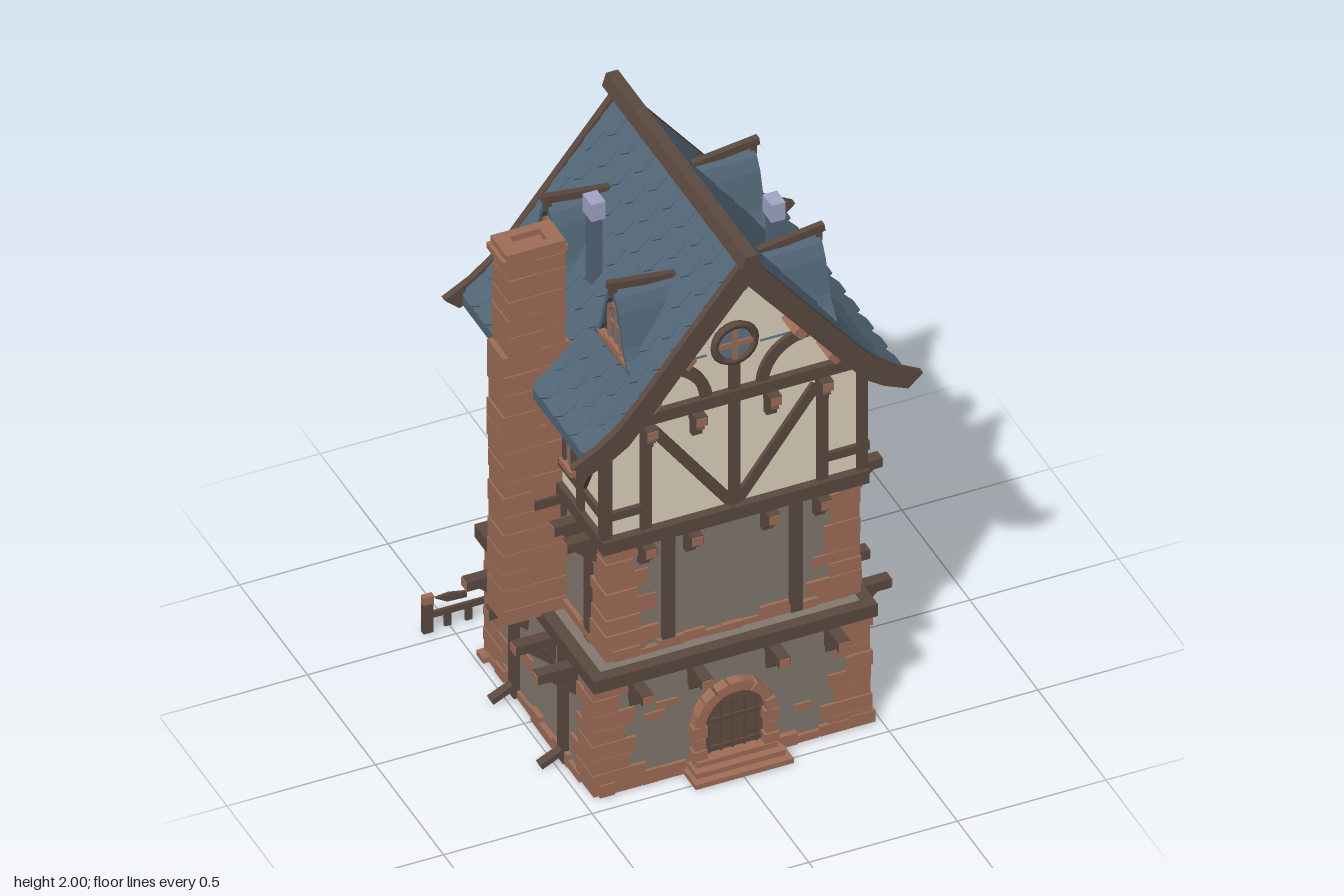
import * as THREE from 'three';
import { mergeGeometries } from 'three/addons/utils/BufferGeometryUtils.js';

const colours = {
  timber: 0x5c4a40, brick: 0xa06e58, plaster: 0xe0d5bf, stone: 0x837970,
  roofSlate: 0x526676, glass: 0x607484, metal: 0xa2a6c6, doorWood: 0x654e40,
};
const Q = Math.PI / 2, CX = 0.02;

export function createModel() {
  const mats = {};
  for (const [name, color] of Object.entries(colours)) {
    mats[name] = new THREE.MeshStandardMaterial({ color });
    mats[name].name = name;
  }
  let seed = 7;
  const rnd = () => (seed = (seed * 16807) % 2147483647) / 2147483647;

  // Collect geometry by part; the frame places wall-local pieces (local +z points out of the wall)
  const parts = new Map();
  let frame = new THREE.Matrix4();
  const setFrame = (x = 0, z = 0, angle = 0) => { frame = new THREE.Matrix4().makeRotationY(angle).setPosition(x, 0, z); };
  function put(name, mat, geo, x = 0, y = 0, z = 0, rx = 0, ry = 0, rz = 0) {
    const g = geo.index ? geo.toNonIndexed() : geo;
    g.deleteAttribute('uv');
    g.applyMatrix4(new THREE.Matrix4().makeRotationFromEuler(new THREE.Euler(rx, ry, rz)).setPosition(x, y, z)).applyMatrix4(frame);
    const key = name + '|' + mat;
    if (!parts.has(key)) parts.set(key, []);
    parts.get(key).push(g);
  }
  const box = (name, mat, w, h, d, ...at) => put(name, mat, new THREE.BoxGeometry(w, h, d), ...at);
  const shapeOf = (pts, Type = THREE.Shape) => new Type(pts.map((p) => new THREE.Vector2(...p)));
  const extrude = (shape, depth) => new THREE.ExtrudeGeometry(shape, { depth, bevelEnabled: false, curveSegments: 10 });
  // Straight timber lying on a wall between two points
  const plank = (x1, y1, x2, y2, w = 0.035, d = 0.03) => box('timberFrame', 'timber', Math.hypot(x2 - x1, y2 - y1), w, d,
    (x1 + x2) / 2, (y1 + y2) / 2, 0, 0, 0, Math.atan2(y2 - y1, x2 - x1));
  function arch(w, h, path = new THREE.Shape()) {
    path.moveTo(-w / 2, 0).lineTo(w / 2, 0).lineTo(w / 2, h - w / 2);
    return path.absarc(0, h - w / 2, w / 2, 0, Math.PI, false).lineTo(-w / 2, 0);
  }
  function archWindow(x, y, z, w, h, frameMat) {
    put('windowGlass', 'glass', extrude(arch(w, h), 0.008), x, y, z);
    const ring = arch(w + 0.02, h + 0.01);
    ring.holes.push(arch(w - 0.008, h - 0.004, new THREE.Path()));
    put('windowFrame', frameMat, extrude(ring, 0.016), x, y, z);
    box('windowBars', 'brick', 0.008, h, 0.006, x, y + h / 2, z + 0.01);
    box('windowBars', 'brick', w, 0.008, 0.006, x, y + h * 0.55, z + 0.01);
    box('windowSill', 'brick', w + 0.035, 0.02, 0.03, x, y, z + 0.01);
  }
  // Arched doorway with brick surround and steps
  function doorway(y, w, h) {
    put('door', 'doorWood', extrude(arch(w, h), 0.068), 0, y, -0.06);
    for (let i = -2; i <= 2; i++) box('doorBattens', 'timber', 0.008, h * 0.85, 0.006, i * w * 0.19, y + h * 0.43, 0.01);
    for (const t of [0.25, 0.62]) box('doorHinges', 'timber', w * 0.9, 0.014, 0.008, 0, y + h * t, 0.012);
    const r = w / 2 + 0.014, hj = h - w / 2;
    for (const s of [-1, 1]) for (let i = 0; i < 4; i++)
      box('doorSurround', 'brick', 0.036 + (i % 2) * 0.012, hj / 4 - 0.004, 0.1, s * r, y + hj * (i + 0.5) / 4, -0.018 + rnd() * 0.01);
    for (let i = 0; i < 9; i++) {
      const a = Math.PI * (i + 0.5) / 9;
      box('doorSurround', 'brick', 0.034, r * 0.34, 0.1, Math.cos(a) * r, y + hj + Math.sin(a) * r, -0.018 + rnd() * 0.01, 0, 0, a);
    }
    for (let i = 0; i < 3; i++) {
      const d = 0.1 - i * 0.027;
      box('doorSteps', 'brick', w + 0.12 - i * 0.03, 0.018, d, 0, y + 0.009 + i * 0.018, d / 2);
    }
  }
  // Projecting joist ends with diagonal braces
  function joists(xs, y, len) {
    for (const x of xs) {
      box('joists', 'timber', 0.04, 0.034, len + 0.03, x, y, len / 2 - 0.015);
      box('joistEnds', 'brick', 0.036, 0.03, 0.006, x, y, len);
      box('joistBraces', 'timber', 0.028, 0.022, len * 1.05, x, y - 0.045, len * 0.36, -0.72);
      box('joistBraces', 'timber', 0.034, 0.05, 0.025, x, y - 0.045, 0.01);
    }
  }
  // Uneven corner stones, longer toward the bottom
  function quoin(X, Z, sx, sz, y0, y1) {
    for (let y = y0, i = 0; y < y1 - 0.02; i++) {
      const h = Math.min(0.032 + rnd() * 0.03, y1 - y), t = (y - y0) / (y1 - y0);
      const long = 0.08 + 0.09 * (1 - t) + rnd() * 0.03, short = 0.05 + 0.07 * (1 - t) + rnd() * 0.03;
      const lx = i % 2 ? long : short, lz = i % 2 ? short : long, e = 0.004 + rnd() * 0.009;
      box('cornerStones', 'brick', lx, h - 0.002, lz, X + sx * (e - lx / 2), y + h / 2, Z + sz * (e - lz / 2));
      y += h;
    }
  }
  function baseStones(half, y, gap = 0) {
    for (let x = -half; x < half - 0.05;) {
      const l = 0.05 + rnd() * 0.06, h = 0.018 + rnd() * 0.035;
      if (Math.abs(x + l / 2) > gap) box('baseStones', 'brick', l - 0.003, h, 0.05, x + l / 2, y + h / 2, -0.015 + rnd() * 0.01);
      x += l;
    }
  }
  const looseBricks = (list) => list.forEach(([x, y, w]) => box('looseBricks', 'brick', w, 0.026, 0.016, x, y));
  // Floor slab with timber edging
  function slab(x0, x1, z0, z1, y0, y1) {
    const cx = (x0 + x1) / 2, cz = (z0 + z1) / 2, h = y1 - y0, y = (y0 + y1) / 2;
    box('floorSlab', 'stone', x1 - x0 - 0.04, h - 0.008, z1 - z0 - 0.04, cx, y, cz);
    for (const z of [z0 + 0.02, z1 - 0.02]) box('floorBeams', 'timber', x1 - x0, h, 0.04, cx, y, z);
    for (const x of [x0 + 0.02, x1 - 0.02]) box('floorBeams', 'timber', 0.04, h, z1 - z0, x, y, cz);
  }

  // Ground floor: hollow stone walls under a boarded ceiling
  const plan = shapeOf([[-0.46, -0.43], [0.46, -0.43], [0.46, 0.36], [-0.46, 0.36]]);
  plan.holes.push(shapeOf([[-0.41, -0.38], [-0.41, 0.31], [0.41, 0.31], [0.41, -0.38]], THREE.Path));
  put('groundWalls', 'stone', extrude(plan, 0.43), 0, 0, 0, -Q);
  for (let i = 0; i < 9; i++) box('ceilingBoards', 'timber', 0.083, 0.012, 0.69, (i - 4) * 0.091, 0.42, 0.035);
  for (const sx of [-1, 1]) {
    quoin(sx * 0.46, 0.43, sx, 1, 0, 0.42);
    quoin(sx * 0.46, -0.36, sx, -1, 0, 0.42);
  }
  for (const [z, a] of [[0.43, 0], [-0.36, Math.PI]]) {
    setFrame(0, z, a);
    baseStones(0.45, 0, a ? 0 : 0.18);
    joists([-0.33, -0.13, 0.13, 0.33], 0.403, 0.11);
    looseBricks([[-0.22, 0.285, 0.07], [-0.26, 0.252, 0.07], [0.24, 0.13, 0.05]]);
    if (!a) doorway(0, 0.21, 0.285);
  }
  for (const s of [1, -1]) {
    setFrame(s * 0.46, 0, s * Q);
    baseStones(0.36, 0);
    joists([-0.29, -0.13, 0.07, 0.23].map((x) => x * s), 0.403, 0.135);
    looseBricks([[-0.07, 0.2, 0.11], [-0.06, 0.172, 0.06]]);
    for (const x of [-0.22, 0.14]) {
      plank(s * x, 0, s * x, 0.43, 0.042, 0.04);
      box('postFeet', 'timber', 0.03, 0.02, 0.1, s * x, 0.026, 0.045, 0.45);
    }
  }
  setFrame();
  slab(-0.48, 0.475, -0.41, 0.47, 0.425, 0.472);

  // First floor with open balcony behind
  box('firstFloorWalls', 'stone', 0.84, 0.45, 0.49, 0.025, 0.69, 0.14);
  for (const [X, sx] of [[-0.395, -1], [0.445, 1]]) {
    quoin(X, 0.385, sx, 1, 0.47, 0.9);
    quoin(X, -0.105, sx, -1, 0.47, 0.9);
    box('balconyPosts', 'timber', 0.032, 0.45, 0.032, X, 0.69, -0.385);
  }
  setFrame(0.025, 0.385);
  baseStones(0.41, 0.47);
  for (const x of [-0.22, 0.21]) plank(x, 0.47, x, 0.92, 0.042);
  joists([-0.305, -0.15, 0.11, 0.285], 0.893, 0.07);
  setFrame(0.025, -0.105, Math.PI);
  doorway(0.47, 0.17, 0.27);
  baseStones(0.41, 0.47, 0.15);
  for (const s of [1, -1]) {
    setFrame(0.025 + s * 0.42, 0, s * Q);
    for (const x of [-0.26, -0.03]) plank(s * x, 0.47, s * x, 0.92, 0.038);
    joists([-0.31, -0.215, -0.07, 0.06].map((x) => x * s), 0.893, 0.11);
    box('baseStones', 'brick', 0.3, 0.03, 0.03, s * -0.14, 0.49, 0);
  }
  setFrame();
  slab(-0.43, 0.465, -0.405, 0.43, 0.912, 0.96);

  // Plastered upper floor and gables
  put('upperWalls', 'plaster', extrude(shapeOf([[-0.43, 0.95], [0.43, 0.95], [0.43, 1.38], [0, 1.9], [-0.43, 1.38]]), 0.79), CX, 0, -0.39);
  for (const [z, a] of [[0.4, 0], [-0.39, Math.PI]]) {
    const reach = a ? -0.03 : 0.025;
    setFrame(CX, z, a);
    plank(-0.44, 1.383, 0.44, 1.383, 0.042, 0.05);
    plank(0, 0.96, 0, 1.51);
    for (const s of [-1, 1]) {
      plank(s * 0.43, 0.96, s * 0.43, 1.37, 0.034, 0.034);
      plank(s * 0.297, 0.96, s * 0.297, 1.37);
      plank(s * 0.015, 0.975, s * 0.275, 1.33);
      plank(s * 0.3, 1.04, s * 0.43, 1.04, 0.03);
      // Curved gable braces
      const c = new THREE.Shape().absarc(0, 0, 0.175, 0, Q, false).absarc(0, 0, 0.137, Q, 0, true);
      put('curvedBraces', 'timber', extrude(c, 0.03), s * 0.25, 1.39, -0.015, 0, 0, s > 0 ? Q : 0);
      // Purlin ends under the barge boards
      for (const [x, y] of [[0.192, 1.612], [0.308, 1.483]]) box('purlinEnds', 'brick', 0.042, 0.042, 0.13, s * x, y, reach, 0, 0, -s * 0.87);
    }
    box('purlinEnds', 'brick', 0.04, 0.04, 0.13, 0, 1.862, reach, 0, 0, Q / 2);
    joists([-0.295, -0.13, 0.12, 0.295], 1.345, 0.055);
    // Round window
    put('roundWindowGlass', 'glass', new THREE.CylinderGeometry(0.066, 0.066, 0.03, 20), 0, 1.58, 0, Q);
    put('roundWindowRim', 'timber', new THREE.TorusGeometry(0.068, 0.014, 6, 20), 0, 1.58, 0.012);
    for (const r of [0, Q]) box('roundWindowBars', 'brick', 0.12, 0.018, 0.008, 0, 1.58, 0.017, 0, 0, r);
  }
  for (const s of [1, -1]) {
    setFrame(CX + s * 0.43, 0, s * Q);
    for (const x of [-0.395, -0.235, 0.22, 0.385]) plank(s * x, 0.96, s * x, 1.37, 0.034);
    for (const y of [1.04, 1.36]) plank(s * -0.395, y, s * 0.39, y, 0.03);
    plank(s * -0.385, 1.32, s * -0.245, 1.05, 0.03);
    plank(s * 0.375, 1.32, s * 0.235, 1.05, 0.03);
    for (const x of s > 0 ? [-0.155, -0.005, 0.14] : [0.155, -0.14]) archWindow(x, 1.065, 0, 0.055, 0.175, 'timber');
  }

  // Roof shell flared at the eaves, barge boards and ridge
  setFrame();
  const slope = [[0, 1.95], [0.26, 1.635], [0.42, 1.44], [0.53, 1.35]];
  const flip = ([x, y]) => [-x, y];
  const chevron = (outer, inner) => shapeOf([...outer.slice(1).reverse().map(flip), ...outer, ...inner.slice().reverse(), ...inner.slice(1).map(flip)]);
  put('roofShell', 'roofSlate', extrude(chevron(slope, slope.map(([x, y]) => [x, y - 0.04])), 0.93), CX, 0, -0.435);
  const board = chevron([[0, 1.98], [0.26, 1.655], [0.36, 1.53], [0.43, 1.45], [0.5, 1.395], [0.59, 1.345]],
    [[0, 1.865], [0.22, 1.595], [0.34, 1.445], [0.4, 1.375], [0.46, 1.335], [0.54, 1.3]]);
  for (const z of [0.485, -0.455]) put('bargeBoards', 'timber', extrude(board, 0.024), CX, 0, z);
  put('ridgeBeam', 'timber', extrude(shapeOf([[-0.034, 1.955], [0.034, 1.955], [0.02, 2], [-0.02, 2]]), 1.03), CX, 0, -0.49);

  // Overlapping slates
  const path = new THREE.CatmullRomCurve3(slope.map(([x, y]) => new THREE.Vector3(0, y, x)));
  const slate = shapeOf([[-0.05, 0.07], [-0.05, -0.04], [-0.026, -0.065], [0.026, -0.065], [0.05, -0.04], [0.05, 0.07]]);
  for (const s of [1, -1]) {
    setFrame(CX, 0.03, s * Q);
    for (let row = 0; row < 9; row++) {
      const u = (row + 0.55) / 9.3, p = path.getPointAt(u), t = path.getTangentAt(u), odd = row % 2;
      for (let i = 0; i < 9 + odd; i++) {
        const edge = odd && i === 0 ? 1 : odd && i === 9 ? -1 : 0;
        put('roofSlates', 'roofSlate', extrude(slate, 0.006).scale(edge ? 0.5 : 1, 1, 1), (i - 4 - odd / 2) * 0.102 + edge * 0.025,
          p.y + t.z * 0.004, p.z - t.y * 0.004, Math.atan2(-t.z, -t.y) - 0.06);
      }
    }
  }

  // Bell-shaped dormers with recessed windows
  const half = [[0.135, 1.55], [0.102, 1.585], [0.084, 1.62], [0.066, 1.68], [0.05, 1.735], [0.027, 1.775], [0, 1.795]];
  const bell = (k, Type) => shapeOf([...half, ...half.slice(0, -1).reverse().map(flip)].map(([x, y]) => [x * k, 1.55 + (y - 1.55) * k + (1 - k) * 0.04]), Type);
  for (const s of [1, -1]) for (const z of [0.27, -0.21]) {
    setFrame(CX, z, s * Q);
    put('dormerRoof', 'roofSlate', extrude(bell(1), 0.232), 0, 0, 0.09);
    const rim = bell(1);
    rim.holes.push(bell(0.86, THREE.Path));
    put('dormerRim', 'roofSlate', extrude(rim, 0.026), 0, 0, 0.322);
    put('dormerFront', 'timber', extrude(bell(0.87), 0.008), 0, 0, 0.32);
    archWindow(0, 1.578, 0.326, 0.08, 0.145, 'brick');
    box('dormerSill', 'brick', 0.2, 0.018, 0.03, 0, 1.57, 0.337);
    box('dormerRidge', 'timber', 0.022, 0.026, 0.23, 0, 1.802, 0.25, -0.13);
    box('dormerFinial', 'timber', 0.022, 0.05, 0.02, 0, 1.795, 0.345);
  }

  // Metal roof vents
  setFrame();
  for (const [x, z] of [[-0.257, -0.016], [0.242, 0.217]]) {
    box('ventPipe', 'roofSlate', 0.036, 0.29, 0.045, x, 1.73, z);
    box('ventCap', 'metal', 0.048, 0.065, 0.065, x, 1.897, z);
  }

  // Brick chimney: uneven courses of two bricks and an open rim
  for (let y = 0.46; y < 1.84;) {
    const h = Math.min(0.05 + rnd() * 0.03, 1.86 - y), top = y > 1.45 && y < 1.8;
    const x0 = (top ? -0.588 : -0.604) - rnd() * 0.008, x1 = (top ? -0.405 : -0.39) + rnd() * 0.01, split = x0 + (x1 - x0) * (0.3 + rnd() * 0.4);
    for (const [a, b] of [[x0, split - 0.001], [split, x1]])
      box('chimney', 'brick', b - a, h - 0.002, 0.112 + rnd() * 0.012, (a + b) / 2, y + h / 2, 0.026);
    y += h;
  }
  for (const s of [-1, 1]) {
    box('chimneyRim', 'brick', 0.05, 0.025, 0.118, -0.498 + s * 0.075, 1.868, 0.026);
    box('chimneyRim', 'brick', 0.1, 0.025, 0.032, -0.498, 1.868, 0.026 + s * 0.043);
  }

  // Broken fence sections behind the house
  for (const s of [-1, 1]) {
    for (const x of [0.578, 0.238]) {
      box('fencePosts', 'timber', 0.034, 0.11, 0.018, s * x, 0.055, -0.54);
      box('fencePostTops', 'brick', 0.036, 0.03, 0.02, s * x, 0.125, -0.54);
    }
    box('fenceRail', 'timber', 0.33, 0.022, 0.01, s * 0.405, 0.062, -0.54);
    for (let i = 0; i < 4; i++) box('fencePickets', 'timber', 0.022, 0.05, 0.01, s * (0.3 + i * 0.07), 0.03, -0.54);
    put('brokenRail', 'timber', extrude(shapeOf([[-0.055, 0], [-0.01, -0.016], [0.055, -0.006], [0.05, 0.014], [-0.01, 0.014]]), 0.01),
      s * 0.5, 0.112, -0.545, 0, 0, s * 0.2);
  }

  const group = new THREE.Group();
  group.name = 'timberFramedHouse';
  for (const [key, list] of parts) {
    const [name, mat] = key.split('|');
    const mesh = new THREE.Mesh(mergeGeometries(list), mats[mat]);
    mesh.name = name;
    group.add(mesh);
  }
  return group;
}
